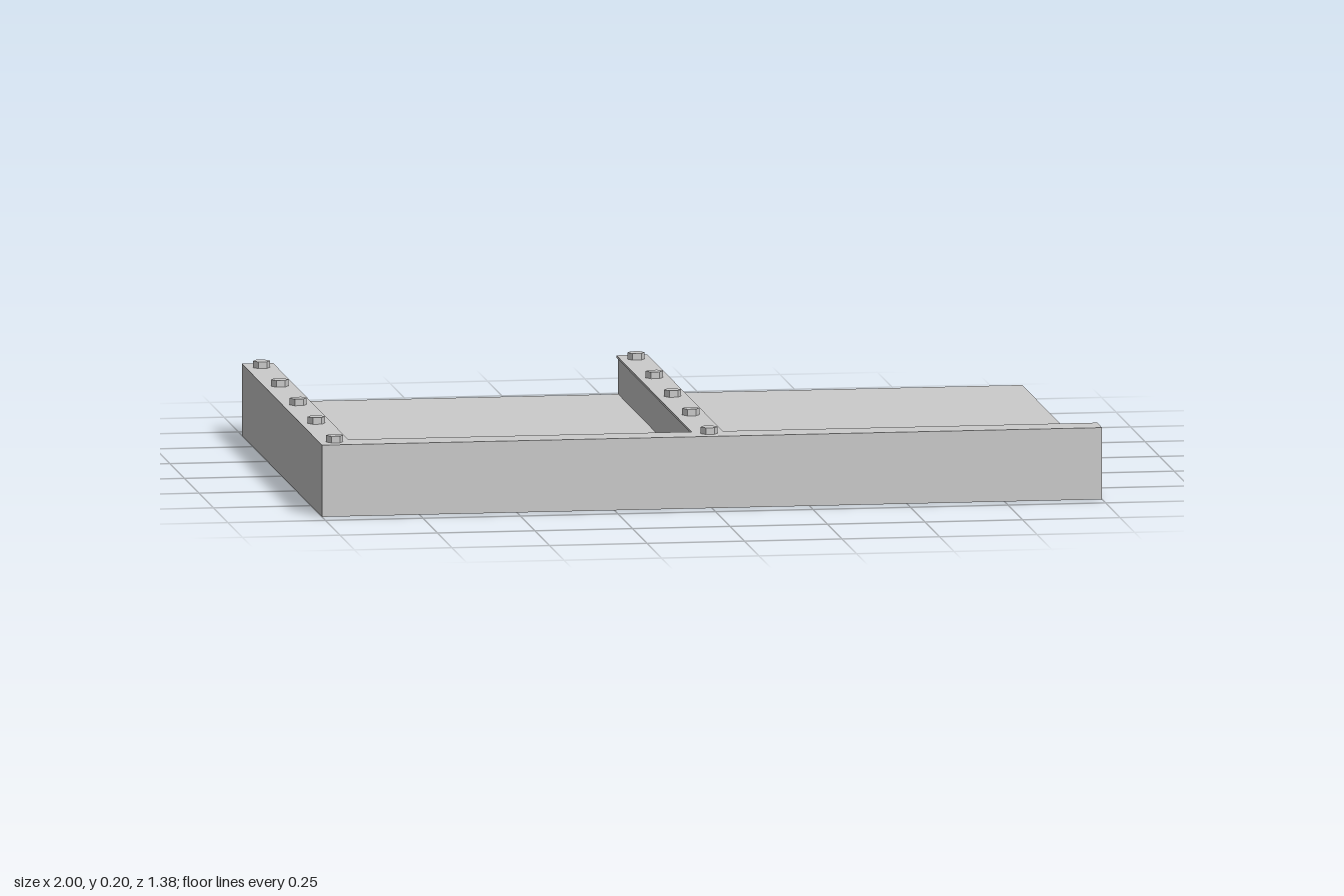
import * as THREE from 'three';

export function createModel() {
  const model = new THREE.Group();
  const material = new THREE.MeshStandardMaterial({ color: 0xcccccc, flatShading: true });

  // Box given by its limits on each axis
  const box = (name, x0, x1, y0, y1, z0, z1) => {
    const mesh = new THREE.Mesh(new THREE.BoxGeometry(x1 - x0, y1 - y0, z1 - z0), material);
    mesh.position.set((x0 + x1) / 2, (y0 + y1) / 2, (z0 + z1) / 2);
    mesh.name = name;
    model.add(mesh);
  };

  // Base slab and the front kerb, with its thin cap
  box('baseSlab', -1, 1, 0, 0.085, -0.686, 0.69);
  box('frontBeam', -1, 1, 0.085, 0.178, 0.612, 0.69);
  box('frontBeamCap', -1, 1, 0.178, 0.184, 0.606, 0.69);

  // Rails running front to back, each capped and bolted down
  const boltGeometry = new THREE.CylinderGeometry(0.022, 0.022, 0.018, 6).rotateY(Math.PI / 6);
  const rails = [
    { name: 'sideRail', x: -0.96, left: 0.04, right: 0.036 },
    { name: 'middleRail', x: 0, left: 0.036, right: 0.036 },
  ];
  for (const { name, x, left, right } of rails) {
    box(name, x - left, x + right, 0.055, 0.178, -0.69, 0.612);
    box(name + 'Cap', x - 0.04, x + 0.04, 0.178, 0.184, -0.69, 0.606);
    for (let i = 0; i < 5; i++) {
      const bolt = new THREE.Mesh(boltGeometry, material);
      bolt.position.set(x, 0.192, -0.622 + i * 0.315);
      bolt.name = 'hexBolt';
      model.add(bolt);
    }
  }
  return model;
}
